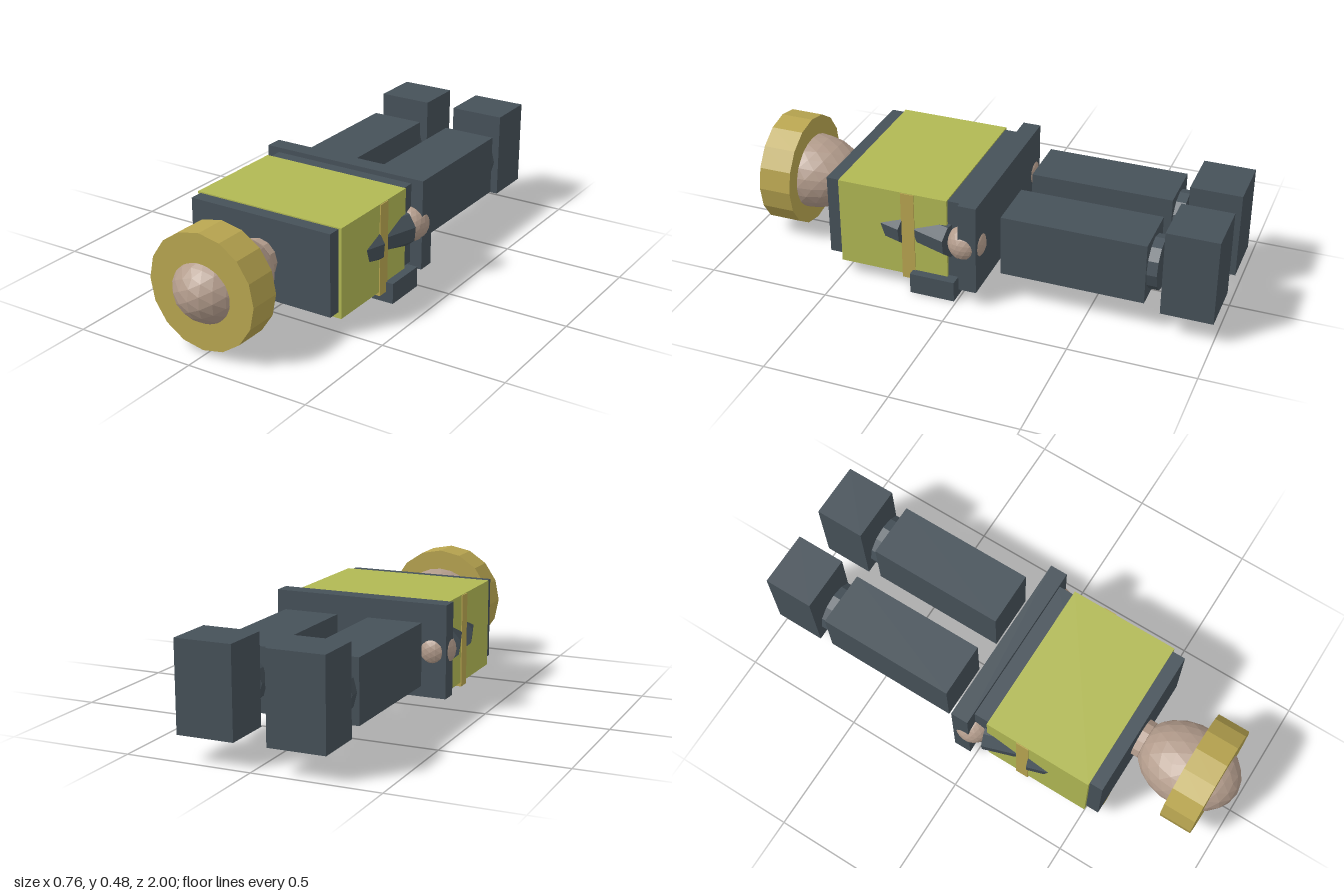
import * as THREE from 'three';

const mat = (name, color) => {
  const m = new THREE.MeshStandardMaterial({ color, flatShading: true });
  m.name = name;
  return m;
};

export function createModel() {
  const slate = mat('slate cloth', 0x465159);
  const lime = mat('lime vest', 0xb1b854);
  const ochre = mat('ochre trim', 0xb8a550);
  const skin = mat('skin', 0xb39c8c);
  const model = new THREE.Group();
  model.name = 'lyingWorker';

  const add = (name, geometry, material) => {
    const mesh = new THREE.Mesh(geometry, material);
    mesh.name = name;
    model.add(mesh);
    return mesh;
  };
  // Box given by its lower and upper corner
  const box = (name, material, [x0, y0, z0], [x1, y1, z1]) => {
    const mesh = add(name, new THREE.BoxGeometry(x1 - x0, y1 - y0, z1 - z0), material);
    mesh.position.set((x0 + x1) / 2, (y0 + y1) / 2, (z0 + z1) / 2);
    return mesh;
  };
  // Cylinder running from point a to point b
  const rod = (name, material, a, b, ra, rb, sides) => {
    const start = new THREE.Vector3(...a), end = new THREE.Vector3(...b);
    const dir = end.clone().sub(start);
    const mesh = add(name, new THREE.CylinderGeometry(rb, ra, dir.length(), sides), material);
    mesh.position.copy(start).add(end).multiplyScalar(0.5);
    mesh.quaternion.setFromUnitVectors(new THREE.Vector3(0, 1, 0), dir.normalize());
    return mesh;
  };

  // Head, neck and helmet brim
  const head = add('head', new THREE.IcosahedronGeometry(1, 3), skin);
  head.scale.set(0.166, 0.152, 0.215);
  head.position.set(0, 0.248, 0.78);
  rod('neck', skin, [0, 0.25, 0.55], [0, 0.25, 0.59], 0.08, 0.08, 12);
  rod('helmetBrim', ochre, [0, 0.252, 0.78], [0, 0.252, 0.915], 0.23, 0.23, 16);

  // Torso, vest and trim
  box('torso', slate, [-0.313, 0.086, -0.02], [0.313, 0.42, 0.56]);
  box('vest', lime, [-0.325, 0.06, 0.05], [0.325, 0.425, 0.505]);
  box('vestStripe', ochre, [-0.329, 0.044, 0.185], [0.329, 0.423, 0.24]);
  box('belt', slate, [-0.365, 0.065, -0.085], [0.365, 0.44, -0.012]);
  box('buckle', ochre, [-0.05, 0.044, -0.09], [0.05, 0.075, -0.008]);
  box('beltPouch', slate, [0.267, 0, 0.01], [0.36, 0.085, 0.195]);
  rod('torch', ochre, [-0.232, 0.043, 0.45], [-0.232, 0.043, 0.555], 0.036, 0.036, 24);

  for (const s of [1, -1]) {
    const side = s > 0 ? 'left' : 'right';
    // Arms, angled into the torso
    rod(side + 'UpperArm', slate, [s * 0.284, 0.25, 0.225], [s * 0.22, 0.25, 0.44], 0.074, 0.07, 8);
    rod(side + 'Forearm', slate, [s * 0.303, 0.25, 0.03], [s * 0.24, 0.25, 0.24], 0.076, 0.07, 8);
    const hand = add(side + 'Hand', new THREE.IcosahedronGeometry(0.076, 3), skin);
    hand.position.set(s * 0.304, 0.25, -0.025);

    // Legs
    const span = s > 0 ? [0.065, 0.292] : [-0.292, -0.065];
    box(side + 'Leg', slate, [span[0], 0.13, -0.732], [span[1], 0.38, -0.158]);
    rod(side + 'Ankle', slate, [s * 0.178, 0.252, -0.7], [s * 0.178, 0.252, -0.772], 0.106, 0.106, 12);
    box(side + 'Boot', slate, [span[0], 0.1, -1], [span[1], 0.452, -0.795]);
  }
  return model;
}
